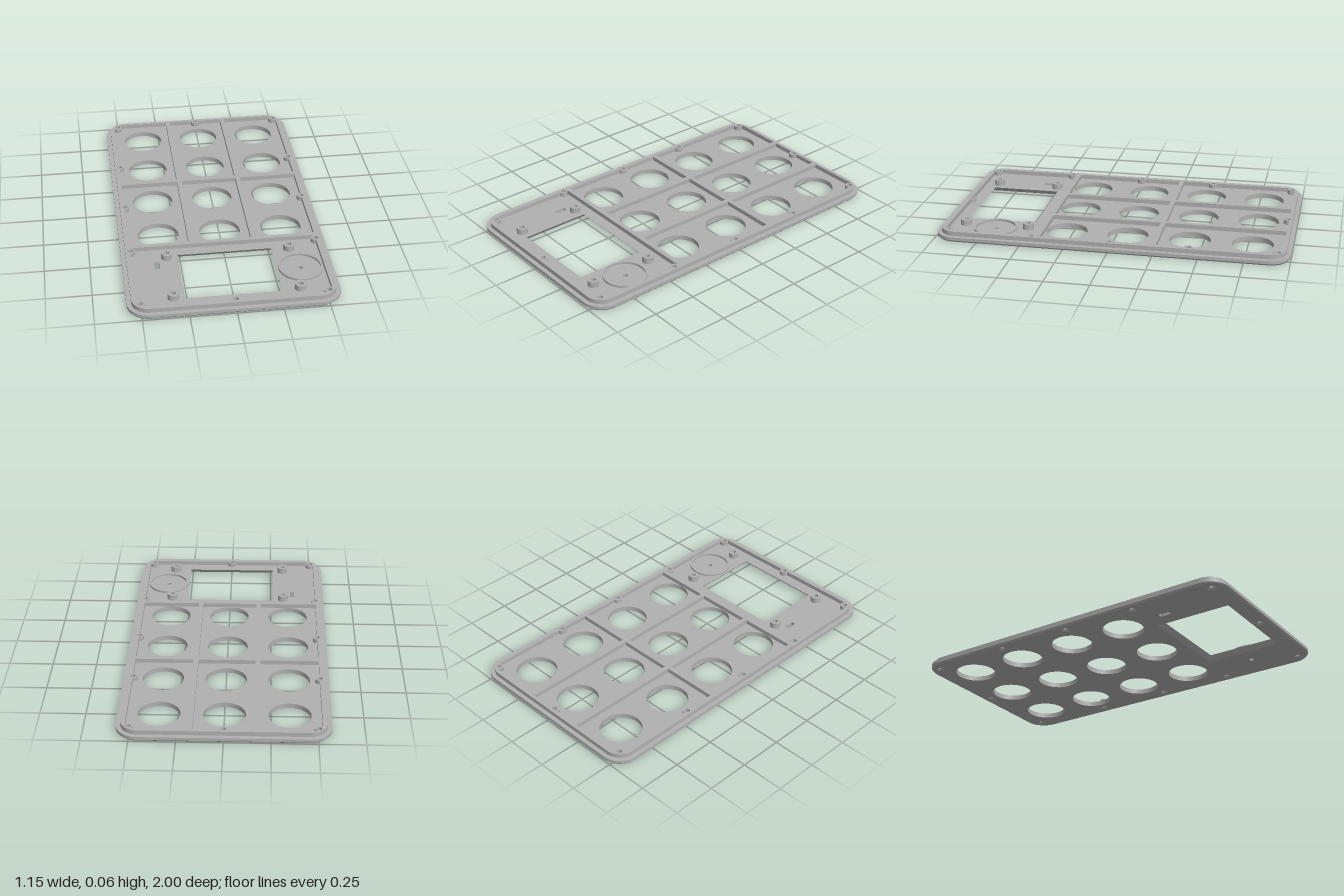
import * as THREE from 'three';
import { mergeGeometries, toCreasedNormals } from 'three/addons/utils/BufferGeometryUtils.js';

// Outlines are drawn in plan: u = x, v = -z, counter-clockwise seen from above.
const V = (u, v) => new THREE.Vector2(u, v);
const DEG = Math.PI / 180;

function arc(u, v, r, a0, a1, n) {
  return Array.from({ length: n + 1 }, (_, i) => {
    const a = (a0 + (a1 - a0) * i / n) * DEG;
    return V(u + r * Math.cos(a), v + r * Math.sin(a));
  });
}
const circle = (u, v, r, n = 32) => arc(u, v, r, 0, 360, n).slice(0, n);
const rect = (u0, u1, v0, v1) => [V(u0, v0), V(u1, v0), V(u1, v1), V(u0, v1)];
function roundRect(hu, hv, r) {
  return [[1, 1, 0], [-1, 1, 90], [-1, -1, 180], [1, -1, 270]].flatMap(([su, sv, a]) =>
    arc(su * (hu - r), sv * (hv - r), r, a, a + 90, 12));
}

// Wall through a stack of [outline, height] levels; inward for holes.
function wall(levels, inward) {
  const pos = [];
  for (let k = 0; k + 1 < levels.length; k++) {
    const [[a, y0], [b, y1]] = [levels[k], levels[k + 1]];
    for (let i = 0; i < a.length; i++) {
      const j = (i + 1) % a.length;
      const [s, e] = inward ? [j, i] : [i, j];
      const p = [a[s].x, y0, -a[s].y], q = [a[e].x, y0, -a[e].y];
      const t = [b[e].x, y1, -b[e].y], w = [b[s].x, y1, -b[s].y];
      pos.push(...p, ...q, ...t, ...p, ...t, ...w);
    }
  }
  return new THREE.BufferGeometry().setAttribute('position', new THREE.Float32BufferAttribute(pos, 3));
}

// Flat face at a height, facing up or down.
function cap(outer, holes, y, up) {
  const shape = new THREE.Shape(outer);
  shape.holes = holes.map((h) => new THREE.Path(h));
  const g = new THREE.ShapeGeometry(shape).rotateX(-Math.PI / 2).translate(0, y, 0);
  if (!up) g.index.array.reverse();
  const flat = g.toNonIndexed();
  flat.deleteAttribute('uv');
  flat.deleteAttribute('normal');
  return flat;
}

// Closed solid with through holes, all given as level stacks.
function solid(outer, holes) {
  const last = (s) => s[s.length - 1];
  return toCreasedNormals(mergeGeometries([
    wall(outer, false),
    ...holes.map((h) => wall(h, true)),
    cap(last(outer)[0], holes.map((h) => last(h)[0]), last(outer)[1], true),
    cap(outer[0][0], holes.map((h) => h[0][0]), outer[0][1], false),
  ]), 0.5);
}

const FLOOR = 0.028, LIP = 0.053, SCREW_R = 0.0145, BOSS_R = 0.025;

export function createModel() {
  const group = new THREE.Group();
  const grey = new THREE.MeshStandardMaterial({ color: 0xb0b0b0 });
  grey.name = 'grey plastic';
  const add = (name, geometry, x = 0, z = 0) => {
    const m = new THREE.Mesh(geometry, grey);
    m.name = name;
    m.position.set(x, 0, z);
    group.add(m);
  };

  const screws = [[0, 0.948], [0, -0.943]];
  for (const s of [-1, 1]) {
    screws.push([s * 0.503, 0.932], [s * 0.522, 0.445], [s * 0.522, 0],
      [s * 0.522, -0.443], [s * 0.503, -0.925]);
  }

  // Base plate: chamfered underside, button holes, bevelled window, countersunk screws
  const straight = (pts) => [[pts, 0], [pts, FLOOR]];
  const plateHoles = screws.map(([u, v]) => [
    [circle(u, v, 0.023), 0], [circle(u, v, SCREW_R), 0.012], [circle(u, v, SCREW_R), FLOOR]]);
  for (const u of [-0.352, 0, 0.352]) {
    for (const v of [0.78, 0.43, 0.077, -0.273]) plateHoles.push(straight(circle(u, v, 0.116, 64)));
  }
  plateHoles.push([[rect(-0.287, 0.287, -0.901, -0.456), 0], [rect(-0.262, 0.262, -0.876, -0.481), FLOOR]]);
  plateHoles.push(straight(rect(-0.397, -0.37, -0.595, -0.53)));
  plateHoles.push(straight(circle(0.394, -0.68, 0.014)));
  add('basePlate', solid([
    [roundRect(0.566, 0.991, 0.111), 0],
    [roundRect(0.575, 1, 0.12), 0.01],
    [roundRect(0.575, 1, 0.12), FLOOR],
  ], plateHoles));

  // Raised rim and dividing ribs, with pockets that curve around the screw bosses
  const bump = (u, v, a0, a1) => arc(u, v, BOSS_R, a0, a1, 16);
  const backLeft = [V(-0.523, 0.265), ...bump(-0.522, 0.445, -90, 90),
    ...bump(-0.503, 0.932, -143, 67), V(-0.19, 0.955), V(-0.19, 0.265)];
  const midLeft = [V(-0.523, -0.39), ...bump(-0.522, 0, -90, 90),
    V(-0.523, 0.238), V(-0.19, 0.238), V(-0.19, -0.39)];
  const backMiddle = [V(-0.163, 0.265), V(-0.163, 0.955), ...bump(0, 0.948, 164, 376),
    V(0.163, 0.955), V(0.163, 0.265)];
  const front = [...bump(-0.522, -0.443, -90, 90), V(-0.523, -0.417), V(0.523, -0.417),
    ...bump(0.522, -0.443, 90, 270), ...bump(0.503, -0.925, 37, 233),
    ...bump(0, -0.943, -5, 185), ...bump(-0.503, -0.925, -53, 143)];
  const mirror = (pts) => pts.map((p) => V(-p.x, p.y)).reverse();
  const pockets = [backLeft, midLeft, backMiddle, front, mirror(backLeft), mirror(midLeft),
    rect(-0.163, 0.163, -0.39, 0.238)]
    .map((p) => (THREE.ShapeUtils.isClockWise(p) ? [...p].reverse() : p));
  const rimLevels = (pts) => [[pts, FLOOR], [pts, LIP]];
  add('rimAndRibs', solid(rimLevels(roundRect(0.55, 0.975, 0.095)),
    [...pockets, ...screws.map(([u, v]) => circle(u, v, SCREW_R))].map(rimLevels)));

  // Hollow posts around the window, and a low ring beside it
  const tube = (rOut, rIn, top, n) => solid(
    [[circle(0, 0, rOut, n), FLOOR], [circle(0, 0, rOut, n), top]],
    [[[circle(0, 0, rIn, n), FLOOR], [circle(0, 0, rIn, n), top]]]);
  const post = tube(0.031, 0.0145, 0.062, 32);
  for (const x of [-0.325, 0.36]) {
    for (const z of [0.497, 0.865]) add('mountingPost', post, x, z);
  }
  add('locatingRing', tube(0.122, 0.112, 0.04, 64), 0.394, 0.68);

  return group;
}
